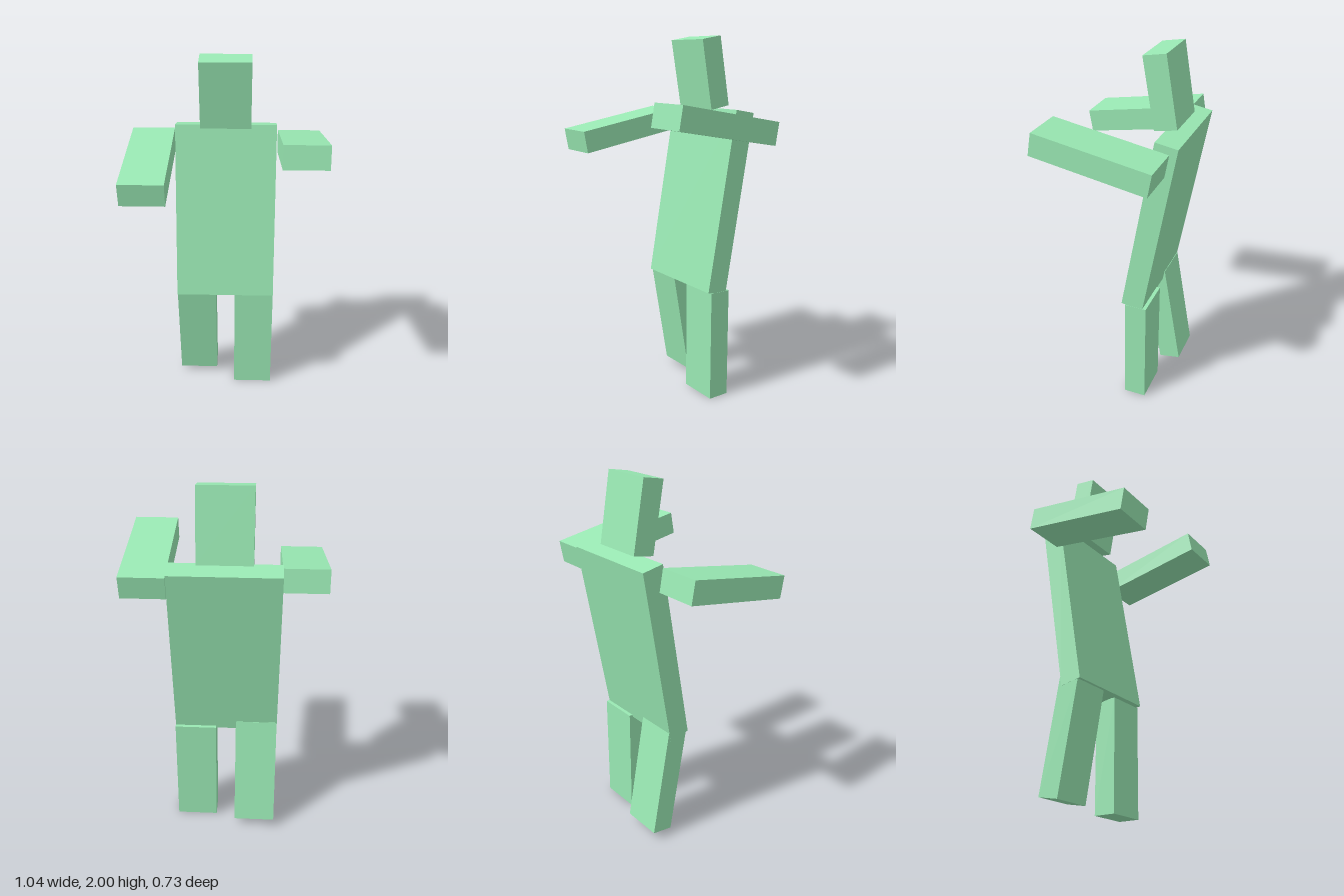
import * as THREE from 'three';

const TILT = THREE.MathUtils.degToRad(10);
const THICK = 0.122;

export function createModel() {
  const model = new THREE.Group();
  model.name = 'blockFigure';
  const skin = new THREE.MeshStandardMaterial({ color: 0x99e8b3, flatShading: true });

  // One slab: size, centre and number of tilt steps about the x axis
  const slab = (name, size, centre, tilt) => {
    const mesh = new THREE.Mesh(new THREE.BoxGeometry(...size), skin);
    mesh.name = name;
    mesh.position.set(...centre);
    mesh.rotation.x = tilt * TILT;
    model.add(mesh);
  };

  // Head nods forward, torso leans back
  slab('head', [0.28, 0.375, THICK], [-0.005, 1.807, -0.216], 1);
  slab('torso', [0.565, 1.0, THICK], [-0.005, 1.115, -0.2175], -1);

  // Arms reach forward, the left one raised and the right one lowered
  slab('leftArm', [0.232, THICK, 0.617], [0.402, 1.561, -0.008], -1);
  slab('rightArm', [0.232, THICK, 0.617], [-0.403, 1.485, 0.049], 1);

  // Left leg stands straight, right leg steps back
  slab('leftLeg', [0.227, 0.625, THICK], [0.165, 0.3125, -0.152], 0);
  slab('rightLeg', [0.227, 0.62, THICK], [-0.173, 0.347, -0.196], 1);

  return model;
}
